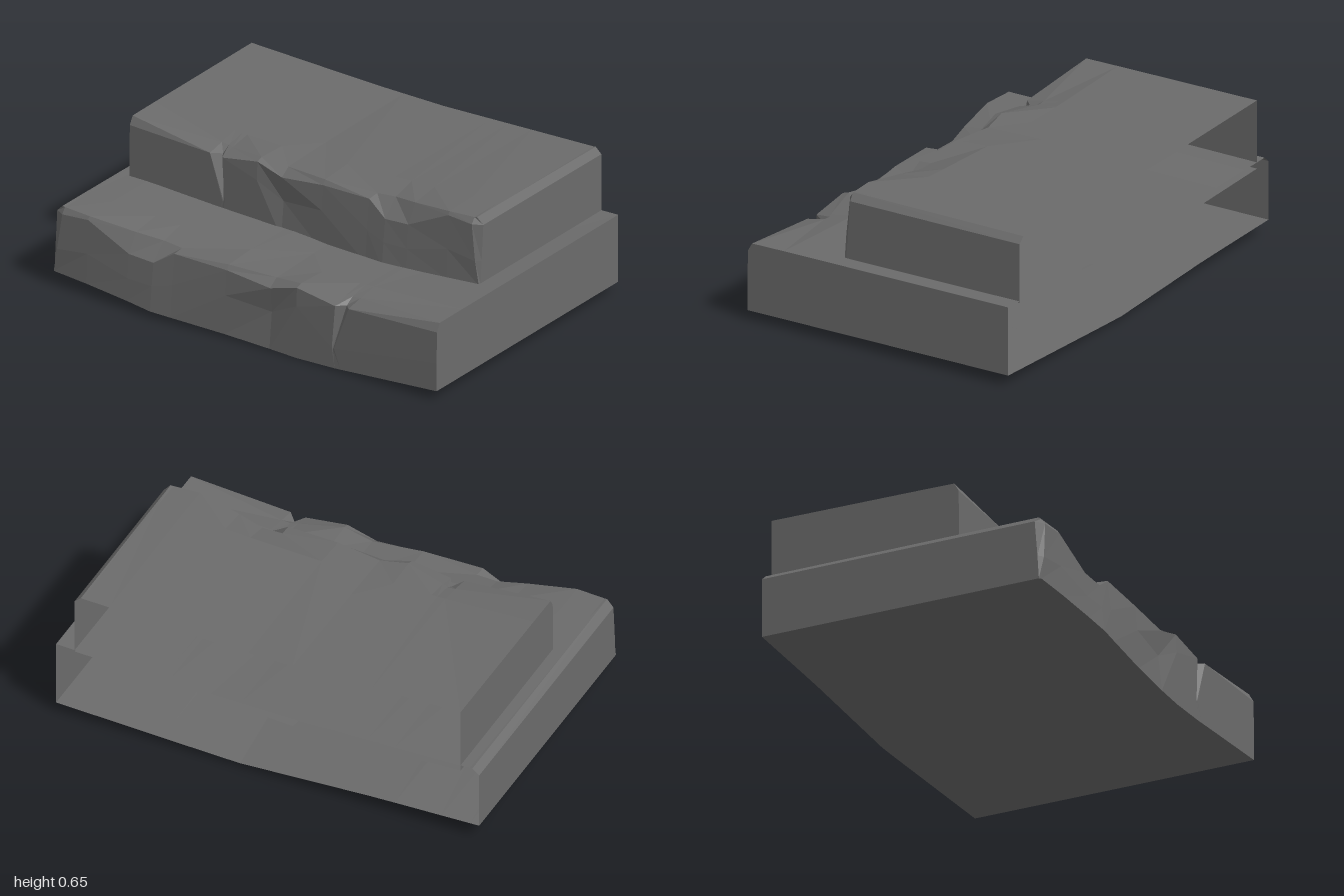
import * as THREE from 'three';

// Front edge of a worn stone step, one entry per crack, chip or bend:
// x, bottom y/z, face y/z, lip y/z, top edge y/z, optional x of the face point
const COLUMNS = [
  [-0.955, 0.07, 0.645, 0.18, 0.648, 0.345, 0.642, 0.372, 0.622, -0.978],
  [-0.82, 0.063, 0.657, 0.2, 0.65, 0.355, 0.642, 0.37, 0.632],
  [-0.6, 0.048, 0.671, 0.15, 0.663, 0.26, 0.652, 0.345, 0.602],
  [-0.47, 0.036, 0.68, 0.15, 0.668, 0.255, 0.655, 0.33, 0.577],
  [-0.37, 0.032, 0.673, 0.18, 0.66, 0.32, 0.643, 0.325, 0.585],
  [-0.1, 0.022, 0.655, 0.2, 0.648, 0.315, 0.638, 0.335, 0.62],
  [0.13, 0.013, 0.648, 0.18, 0.63, 0.295, 0.643, 0.328, 0.595],
  [0.27, 0.008, 0.648, 0.25, 0.648, 0.335, 0.643, 0.345, 0.612],
  [0.47, 0.014, 0.648, 0.105, 0.648, 0.305, 0.645, 0.325, 0.57, 0.455],
  [0.5, 0.016, 0.648, 0.1, 0.647, 0.3, 0.6, 0.325, 0.558, 0.46],
  [0.54, 0.019, 0.648, 0.105, 0.648, 0.31, 0.645, 0.328, 0.558, 0.467],
  [1, 0.05, 0.645, 0.18, 0.645, 0.325, 0.643, 0.362, 0.622]
];

// Sagging profiles across the width
const TOP_INNER = [[-1, 0.374], [-0.82, 0.374], [-0.47, 0.358], [0.13, 0.338], [0.5, 0.343], [1, 0.364]];
const TOP_BACK = [[-1, 0.372], [-0.1, 0.347], [0.3, 0.35], [1, 0.37]];
const BOTTOM_BACK = [[-1, 0.075], [-0.5, 0.06], [0.14, 0.025], [1, 0.056]];

function sample(profile, x) {
  for (let i = 1; i < profile.length; i++) {
    const [x0, y0] = profile[i - 1], [x1, y1] = profile[i];
    if (x <= x1) return y0 + (y1 - y0) * (x - x0) / (x1 - x0);
  }
  return profile[profile.length - 1][1];
}

// Hollow slab, open at the back; a negative width factor mirrors it
function stepGeometry(widthFactor, lift, shift) {
  const backZ = -0.683;
  const sections = COLUMNS.map(([x, by, bz, my, mz, ly, lz, ey, ez, mx = x]) => {
    const dent = x > 0 && x < 0.2 ? 0.32 : 0.46;
    return [
      [x, sample(BOTTOM_BACK, x), null],
      [x, by, bz], [mx, my, mz], [x, ly, lz], [x, ey, ez],
      [x, sample(TOP_INNER, x), dent],
      [x, sample(TOP_BACK, x), null]
    ];
  });
  sections[0][1][0] = -0.997;

  // Rounded-off corner at the bevelled end
  sections.unshift([
    [-1, 0.075, null], [-1, 0.072, 0.635], [-1, 0.18, 0.628], [-1, 0.343, 0.615],
    [-0.968, 0.374, 0.62], [-0.968, 0.374, 0.46], [-0.968, 0.372, null]
  ]);

  const positions = [];
  const put = ([x, y, z]) =>
    positions.push(x * widthFactor, y + lift, z === null ? backZ : z + shift);
  const triangle = (a, b, c) => (widthFactor > 0 ? [a, b, c] : [a, c, b]).forEach(put);
  const quad = (a, b, c, d) => { triangle(a, b, c); triangle(a, c, d); };

  // Bottom, front, lip and top
  for (let i = 0; i < sections.length - 1; i++) {
    const p = sections[i], q = sections[i + 1];
    for (let j = 0; j < p.length - 1; j++) quad(p[j], q[j], q[j + 1], p[j + 1]);
  }

  // Bevelled end
  const s = sections[0];
  const lipBack = [-1, 0.345, null];
  triangle(s[0], s[1], s[2]);
  triangle(s[0], s[2], s[3]);
  triangle(s[0], s[3], lipBack);
  triangle(lipBack, s[3], s[4]);
  triangle(lipBack, s[4], s[5]);
  triangle(lipBack, s[5], s[6]);

  // Square end
  const e = sections[sections.length - 1];
  for (let j = 1; j < e.length - 1; j++) triangle(e[0], e[j + 1], e[j]);

  const geometry = new THREE.BufferGeometry();
  geometry.setAttribute('position', new THREE.Float32BufferAttribute(positions, 3));
  geometry.computeVertexNormals();
  return geometry;
}

export function createModel() {
  const group = new THREE.Group();
  group.name = 'stoneSteps';
  const stone = new THREE.MeshStandardMaterial({
    color: 0x6b6b6b, flatShading: true, side: THREE.DoubleSide
  });
  stone.name = 'grey stone';

  const lower = new THREE.Mesh(stepGeometry(1, 0, 0), stone);
  lower.name = 'lowerStep';
  const upper = new THREE.Mesh(stepGeometry(-0.912, 0.285, -0.435), stone);
  upper.name = 'upperStep';
  group.add(lower, upper);
  return group;
}
